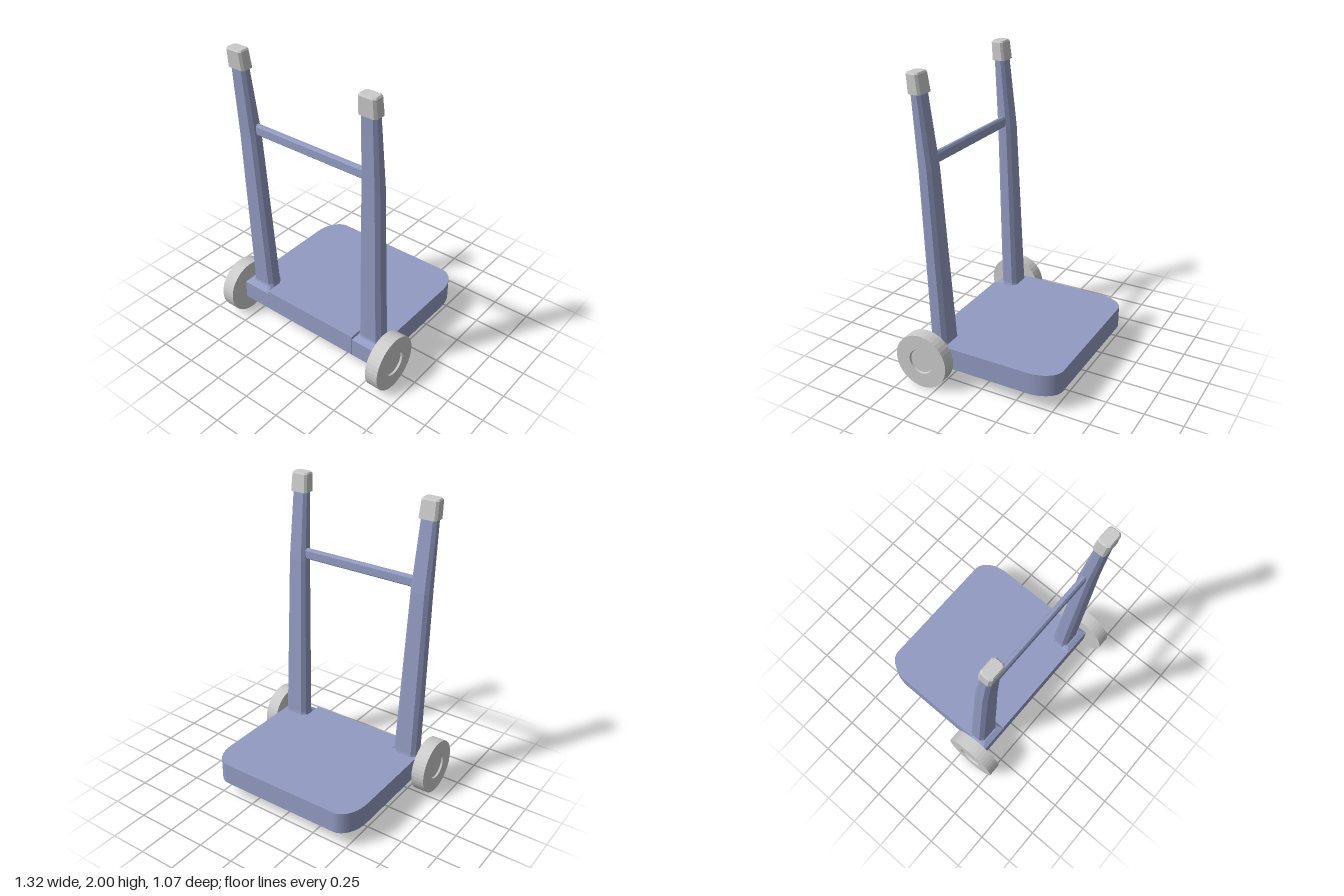
import * as THREE from 'three';

const blue = new THREE.MeshStandardMaterial({ color: 0x929bc2, flatShading: true });
const grey = new THREE.MeshStandardMaterial({ color: 0xcccccc, flatShading: true });

// Skin chamfered rectangles [y, x0, x1, z0, z1, chamfer] from bottom to top; side -1 mirrors in x
function loft(sections, side) {
  const rings = sections.map(([y, x0, x1, z0, z1, c]) =>
    [[x0 + c, z0], [x0, z0 + c], [x0, z1 - c], [x0 + c, z1],
      [x1 - c, z1], [x1, z1 - c], [x1, z0 + c], [x1 - c, z0]]
      .map(([x, z]) => [x * side, y, z]));
  const out = [];
  const tri = (a, b, c) => (side > 0 ? out.push(...a, ...b, ...c) : out.push(...a, ...c, ...b));
  for (let r = 0; r < rings.length - 1; r++) {
    const lo = rings[r], hi = rings[r + 1];
    for (let i = 0; i < 8; i++) {
      const j = (i + 1) % 8;
      tri(lo[i], lo[j], hi[j]);
      tri(lo[i], hi[j], hi[i]);
    }
  }
  const first = rings[0], last = rings[rings.length - 1];
  for (let i = 1; i < 7; i++) {
    tri(first[0], first[i + 1], first[i]);
    tri(last[0], last[i], last[i + 1]);
  }
  const geo = new THREE.BufferGeometry();
  geo.setAttribute('position', new THREE.Float32BufferAttribute(out, 3));
  geo.computeVertexNormals();
  return geo;
}

function add(group, name, geo, mat) {
  const mesh = new THREE.Mesh(geo, mat);
  mesh.name = name;
  group.add(mesh);
  return mesh;
}

export function createModel() {
  const model = new THREE.Group();
  model.name = 'handTruck';

  // Deck: rounded rear corners, front corners notched for the brackets
  const deck = new THREE.Shape();
  deck.moveTo(-0.36, -0.4);
  deck.lineTo(0.36, -0.4);
  deck.lineTo(0.36, -0.27);
  deck.lineTo(0.55, -0.27);
  deck.lineTo(0.55, 0.345);
  deck.absellipse(0.425, 0.345, 0.125, 0.19, 0, Math.PI / 2, false);
  deck.absellipse(-0.425, 0.345, 0.125, 0.19, Math.PI / 2, Math.PI, false);
  deck.lineTo(-0.55, -0.27);
  deck.lineTo(-0.36, -0.27);
  const deckGeo = new THREE.ExtrudeGeometry(deck, { depth: 0.147, bevelEnabled: false, curveSegments: 10 });
  deckGeo.rotateX(-Math.PI / 2);
  deckGeo.translate(0, 0.118, 0);
  add(model, 'deck', deckGeo, blue);

  // Crossbar with chamfered long edges
  const bar = new THREE.Shape([
    [-0.018, -0.028], [-0.011, -0.035], [0.011, -0.035], [0.018, -0.028],
    [0.018, 0.022], [0.008, 0.035], [-0.008, 0.035], [-0.018, 0.022],
  ].map(([x, y]) => new THREE.Vector2(x, y)));
  const barGeo = new THREE.ExtrudeGeometry(bar, { depth: 0.84, bevelEnabled: false });
  barGeo.translate(0, 0, -0.42);
  barGeo.rotateY(Math.PI / 2);
  barGeo.translate(0, 1.47, 0.348);
  add(model, 'crossbar', barGeo, blue);

  // Wheel profile (radius, axial position), with a recessed hub on the outer face
  const wheelGeo = new THREE.LatheGeometry([
    [0, 0.568], [0.184, 0.568], [0.184, 0.658], [0.085, 0.658], [0.081, 0.645], [0, 0.645],
  ].map(([r, a]) => new THREE.Vector2(r, a)), 40);
  wheelGeo.rotateZ(-Math.PI / 2);

  for (const side of [1, -1]) {
    const half = new THREE.Group();
    half.name = side > 0 ? 'leftSide' : 'rightSide';
    model.add(half);

    // Axle bracket sloping up to the post foot
    add(half, 'axleBracket', loft([
      [0.118, 0.36, 0.572, 0.27, 0.4, 0.001],
      [0.245, 0.36, 0.572, 0.27, 0.4, 0.001],
      [0.268, 0.385, 0.535, 0.25, 0.365, 0.02],
    ], side), blue);

    // Tapered post, bending slightly at the crossbar
    add(half, 'post', loft([
      [0.235, 0.363, 0.54, 0.233, 0.365, 0.025],
      [0.28, 0.373, 0.537, 0.242, 0.355, 0.025],
      [1.42, 0.404, 0.534, 0.302, 0.397, 0.022],
      [1.9, 0.422, 0.53, 0.358, 0.427, 0.018],
    ], side), blue);

    // Grip cap
    add(half, 'gripCap', loft([
      [1.875, 0.412, 0.539, 0.345, 0.434, 0.014],
      [1.99, 0.418, 0.537, 0.36, 0.444, 0.014],
      [2.0, 0.425, 0.53, 0.367, 0.438, 0.014],
    ], side), grey);

    const wheel = add(half, 'wheel', wheelGeo, grey);
    wheel.position.set(0, 0.184, 0.35);
    wheel.rotation.y = side > 0 ? 0 : Math.PI;
  }
  return model;
}
